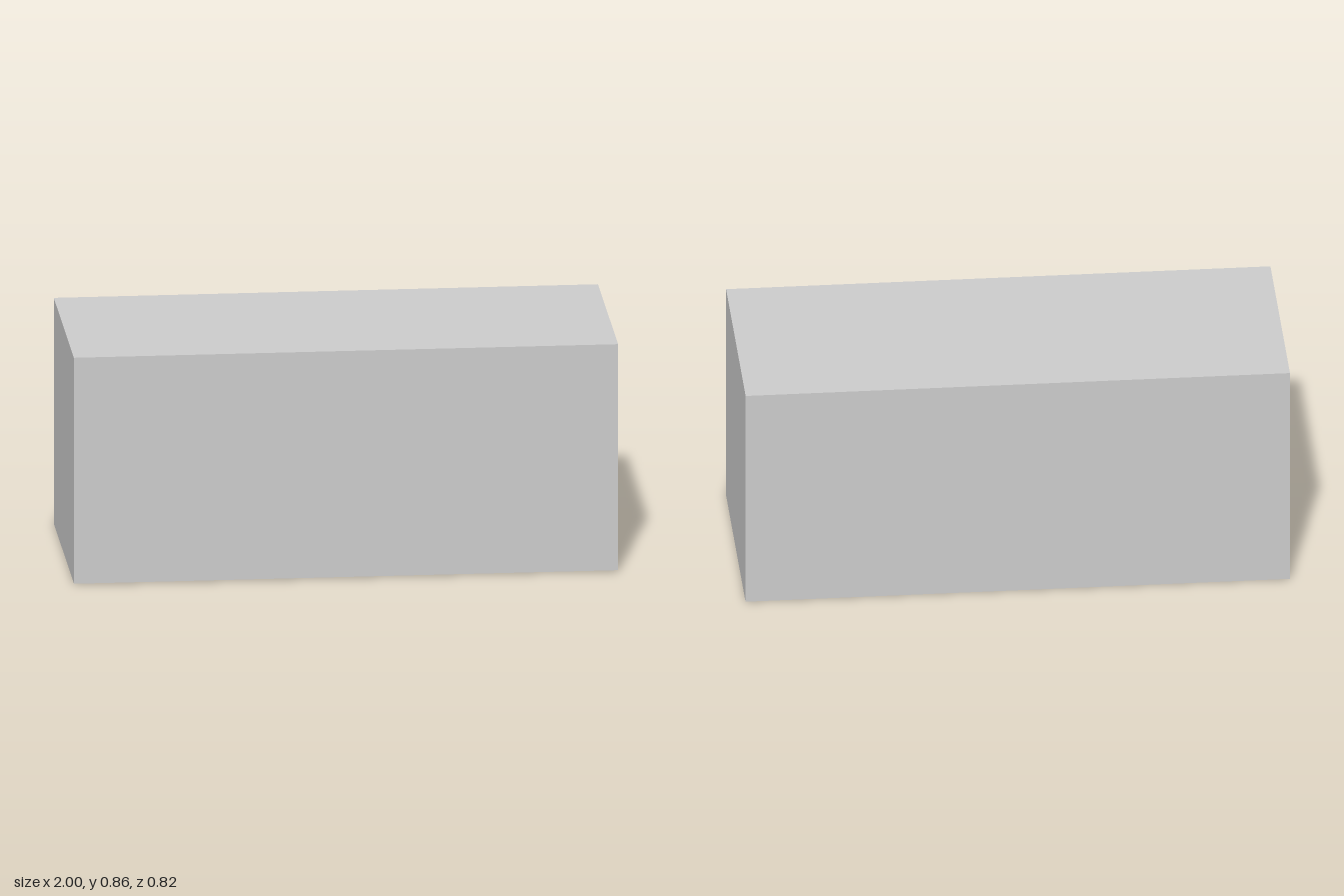
import * as THREE from 'three';

const W = 2, H = 0.859, D = 0.815;      // outer block
const RIM = 0.065, RECESS = 0.02;       // underside border and its depth
const GROOVE_X = 0.345, GROOVE_W = 0.058, GROOVE_DEPTH = 0.03;

const material = new THREE.MeshStandardMaterial({ color: 0xcccccc, flatShading: true });
const insideMaterial = material.clone();
insideMaterial.side = THREE.BackSide;

// Box spanning y0..y1 with some sides left open (2 = top, 3 = bottom)
function openBox(name, w, d, y0, y1, x, open, mat) {
  const geo = new THREE.BoxGeometry(w, y1 - y0, d);
  const index = Array.from(geo.index.array);
  geo.setIndex(index.filter((_, i) => !open.includes(Math.floor(i / 6))));
  geo.translate(x, (y0 + y1) / 2, 0);
  const mesh = new THREE.Mesh(geo, mat);
  mesh.name = name;
  return mesh;
}

// Rectangle outline centred on x
function rect(Type, w, d, x = 0) {
  return new Type([[-w, -d], [w, -d], [w, d], [-w, d]]
    .map(([a, b]) => new THREE.Vector2(x + a / 2, b / 2)));
}

// Flat sheet facing down at height y
function sheet(name, shape, y) {
  const geo = new THREE.ShapeGeometry(shape).rotateX(Math.PI / 2).translate(0, y, 0);
  const mesh = new THREE.Mesh(geo, material);
  mesh.name = name;
  return mesh;
}

export function createModel() {
  const model = new THREE.Group();
  model.name = 'block';
  const innerW = W - 2 * RIM, innerD = D - 2 * RIM;

  // Outer walls and top
  model.add(openBox('outerBody', W, D, 0, H, 0, [3], material));

  // Border around the underside
  const rim = rect(THREE.Shape, W, D);
  rim.holes.push(rect(THREE.Path, innerW, innerD));
  model.add(sheet('bottomRim', rim, 0));
  model.add(openBox('recessWalls', innerW, innerD, 0, RECESS, 0, [2, 3], insideMaterial));

  // Three sunken panels separated by two deeper grooves
  const edges = [-innerW / 2, -GROOVE_X, GROOVE_X, innerW / 2];
  for (let i = 0; i < 3; i++) {
    const a = edges[i] + (i > 0 ? GROOVE_W / 2 : 0);
    const b = edges[i + 1] - (i < 2 ? GROOVE_W / 2 : 0);
    model.add(sheet('bottomPanel', rect(THREE.Shape, b - a, innerD, (a + b) / 2), RECESS));
  }
  for (const side of [-1, 1]) {
    model.add(openBox('groove', GROOVE_W, innerD, RECESS, RECESS + GROOVE_DEPTH,
      side * GROOVE_X, [3], insideMaterial));
  }

  // The block leans back very slightly
  const tilt = 0.005;
  model.rotation.x = -tilt;
  model.position.set(0, Math.sin(tilt) * D / 2, Math.sin(tilt) * H / 2);
  const root = new THREE.Group();
  root.add(model);
  return root;
}
